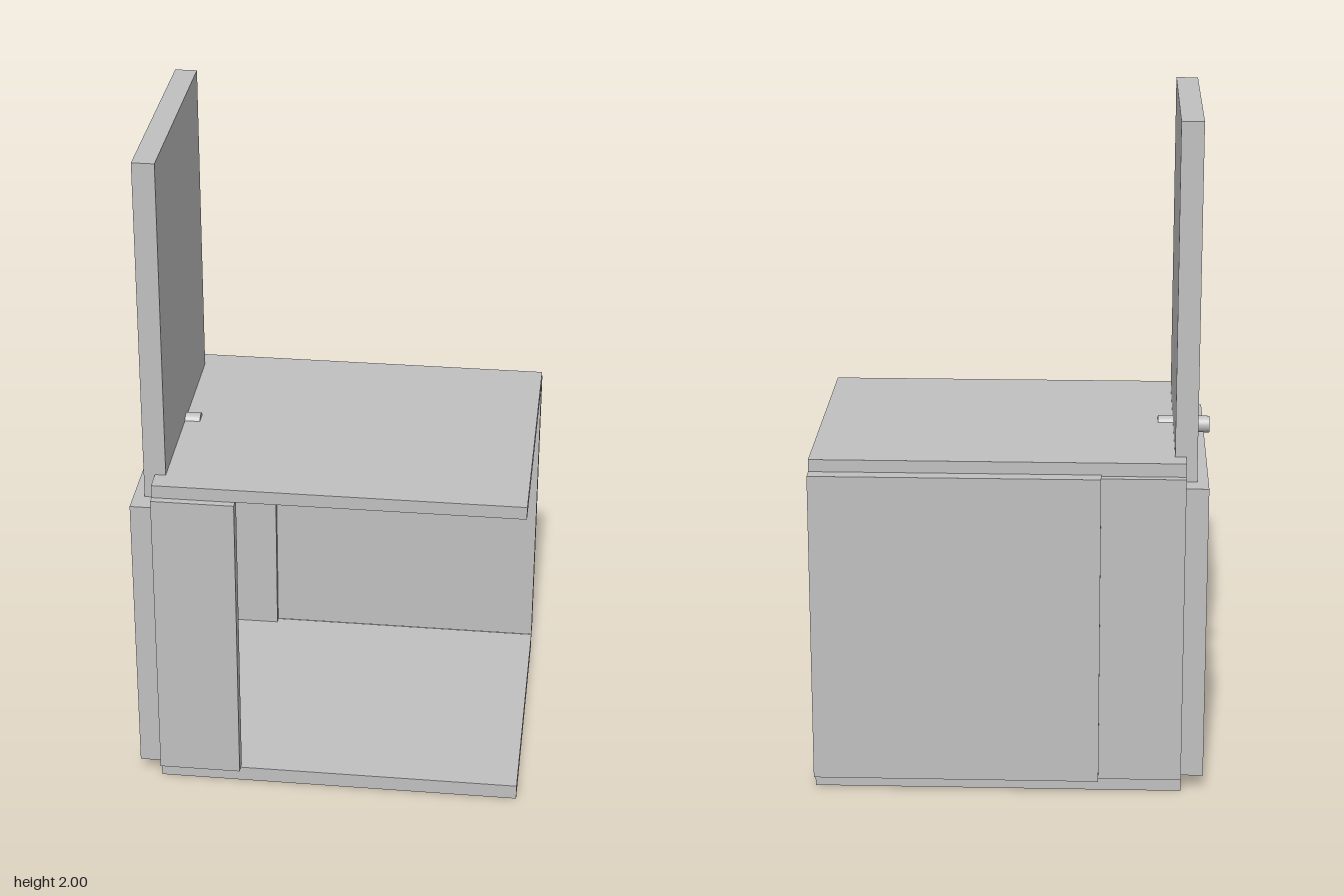
import * as THREE from 'three';

export function createModel() {
  const model = new THREE.Group();
  model.name = 'chair';
  const grey = new THREE.MeshStandardMaterial({ color: 0xc0c0c0 });
  grey.name = 'plain grey';

  // Box given by its limits along each axis
  function board(name, [x0, x1], [y0, y1], [z0, z1]) {
    const mesh = new THREE.Mesh(new THREE.BoxGeometry(x1 - x0, y1 - y0, z1 - z0), grey);
    mesh.position.set((x0 + x1) / 2, (y0 + y1) / 2, (z0 + z1) / 2);
    mesh.name = name;
    model.add(mesh);
  }

  // Seat and floor boards
  const length = [-0.507, 0.58], width = [-0.412, 0.431];
  board('seat', length, [0.982, 1.022], width);
  board('floorBoard', length, [0, 0.046], width);

  // Side walls: one long panel, two short ones near the backrest
  const wall = [0.046, 0.982];
  board('longSidePanel', [-0.263, 0.58], [0.046, 0.986], [-0.457, -0.413]);
  board('rightShortPanel', [-0.507, -0.263], wall, [-0.436, -0.391]);
  board('leftShortPanel', [-0.507, -0.263], wall, [0.41, 0.453]);

  // Rear frame: two legs and a top rail, with a batten under the seat
  const frame = [-0.573, -0.507];
  board('rearRail', frame, [0.848, 0.946], [-0.41, 0.428]);
  board('rearLeg', frame, [0.05, 0.848], [-0.41, -0.347]);
  board('rearLeg', frame, [0.05, 0.848], [0.367, 0.428]);
  board('seatBatten', [-0.507, -0.45], [0.926, 0.982], [-0.391, 0.41]);

  // Backrest, peg through its foot, and small block below the seat
  board('backrest', [-0.54, -0.475], [0.946, 2], [-0.347, 0.366]);
  const peg = new THREE.Mesh(new THREE.CylinderGeometry(0.025, 0.025, 0.155, 32), grey);
  peg.rotation.z = Math.PI / 2;
  peg.position.set(-0.507, 1.012, 0.009);
  peg.name = 'peg';
  model.add(peg);
  board('smallBlock', [-0.048, 0.006], [0.836, 0.86], [-0.019, 0.038]);

  return model;
}
